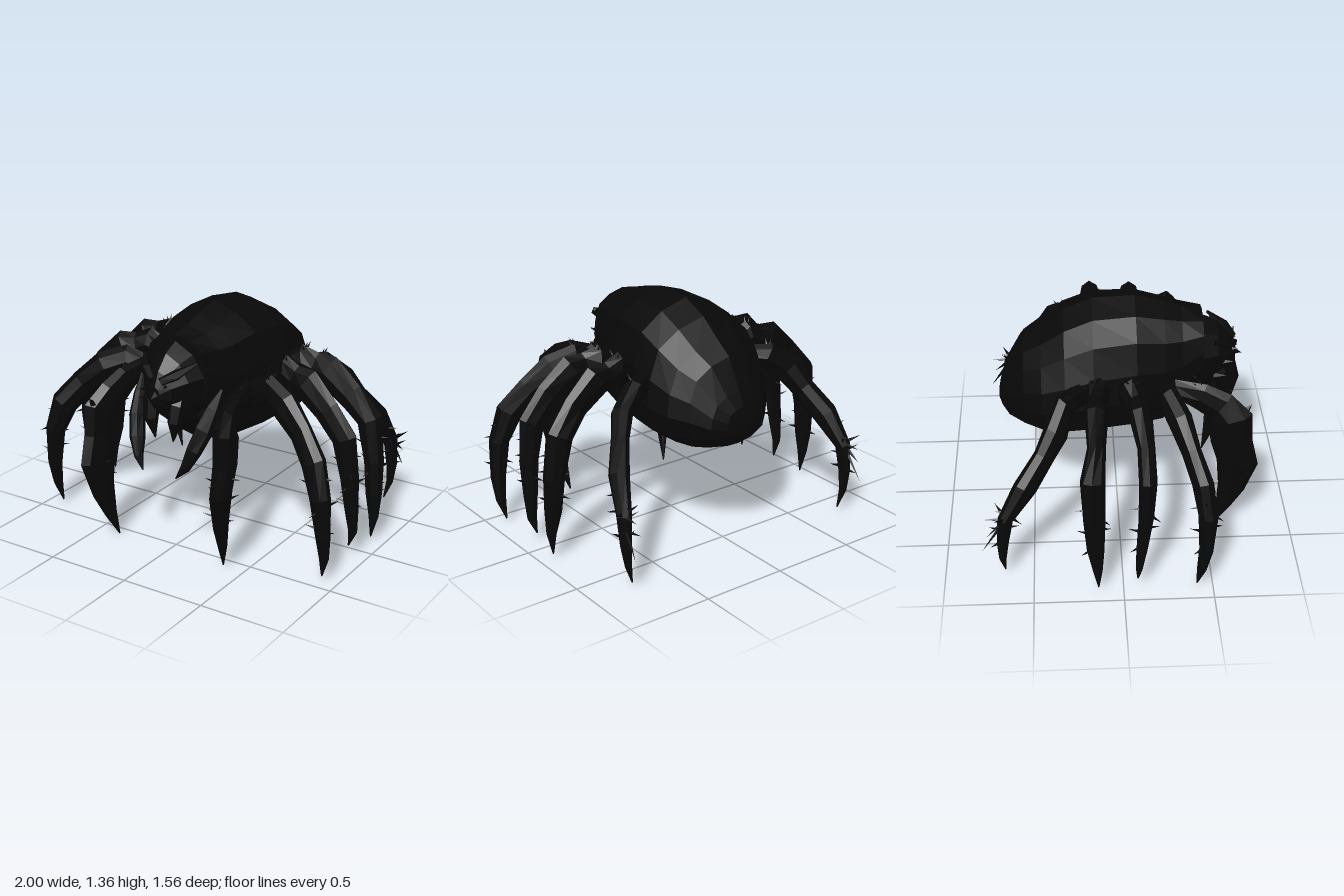
import * as THREE from 'three';
import { mergeGeometries } from 'three/addons/utils/BufferGeometryUtils.js';

const V = (x, y, z) => new THREE.Vector3(x, y, z);
const shell = new THREE.MeshStandardMaterial({ color: 0x080808, flatShading: true });
shell.name = 'black shell';

// Skin a list of rings (outward when each ring turns counter-clockwise around the advance direction)
function loft(rings) {
  const n = rings[0].length, pos = [], idx = [];
  rings.forEach(r => r.forEach(p => pos.push(p.x, p.y, p.z)));
  for (let i = 0; i < rings.length - 1; i++)
    for (let j = 0; j < n; j++) {
      const k = (j + 1) % n, a = i * n + j, b = i * n + k;
      idx.push(a, b, b + n, a, b + n, a + n);
    }
  const e = (rings.length - 1) * n;
  for (let j = 1; j < n - 1; j++) idx.push(0, j + 1, j, e, e + j, e + j + 1);
  const g = new THREE.BufferGeometry();
  g.setAttribute('position', new THREE.Float32BufferAttribute(pos, 3));
  g.setIndex(idx);
  g.computeVertexNormals();
  return g;
}

function add(parent, name, geometry) {
  const m = new THREE.Mesh(geometry, shell);
  m.name = name;
  parent.add(m);
  return m;
}

// Body sections along z: [z, top, bottom, half width], sharing one faceted outline
function sections(list, outline) {
  const full = [...outline, ...outline.slice(1, -1).reverse().map(([x, y]) => [-x, y])];
  return loft(list.map(([z, top, bot, w]) =>
    full.map(([x, y]) => V(x * w, (top + bot) / 2 + y * (top - bot) / 2, z))));
}

// Limb through points [x, y, z, radius in its plane, radius across it]
function limb(points, side, sides = 8) {
  const p = points.map(q => V(q[0] * side, q[1], q[2]));
  const span = p[p.length - 1].clone().sub(p[0]).setY(0).normalize();
  const across = V(0, 1, 0).cross(span);
  return loft(p.map((c, i) => {
    const t = p[Math.min(i + 1, p.length - 1)].clone().sub(p[Math.max(i - 1, 0)]).normalize();
    const up = across.clone().cross(t).normalize();
    return Array.from({ length: sides }, (_, j) => {
      const a = j / sides * Math.PI * 2;
      return c.clone().addScaledVector(up, Math.cos(a) * points[i][3])
        .addScaledVector(across, Math.sin(a) * points[i][4]);
    });
  }));
}

function spine(base, dir, length, radius = 0.01) {
  const g = new THREE.ConeGeometry(radius, length, 4);
  g.translate(0, length / 2, 0);
  g.applyQuaternion(new THREE.Quaternion().setFromUnitVectors(V(0, 1, 0), dir.clone().normalize()));
  return g.translate(base.x, base.y, base.z);
}

// Bristles spiralling round the shin, stopping above the claw
function bristles(points, side, count, length) {
  const list = [], from = points.length - 4.6;
  for (let i = 0; i < count; i++) {
    const u = from + i / count * 1.7;
    const k = Math.floor(u), f = u - k;
    const q = points[k].map((v, j) => v + (points[k + 1][j] - v) * f);
    const a = i * 2.4, r = Math.min(q[3], q[4]) * 0.7;
    const d = V(Math.cos(a) * side, 0.15 + 0.4 * Math.sin(i * 1.7), Math.sin(a));
    const base = V(q[0] * side + d.x * r, q[1], q[2] + d.z * r);
    list.push(spine(base, d, length * (0.8 + 0.3 * Math.sin(i * 3.1))));
  }
  return mergeGeometries(list);
}

const legs = {
  frontLeg: [[0.27, 0.8, 0.22, 0.05, 0.05], [0.355, 0.95, 0.34, 0.08, 0.045], [0.37, 0.92, 0.45, 0.09, 0.045],
    [0.385, 0.86, 0.56, 0.105, 0.055], [0.41, 0.8, 0.615, 0.13, 0.065], [0.415, 0.64, 0.63, 0.12, 0.062],
    [0.415, 0.49, 0.67, 0.118, 0.055], [0.4, 0.3, 0.645, 0.078, 0.04], [0.385, 0.15, 0.605, 0.042, 0.026],
    [0.36, 0, 0.56, 0.004, 0.004]],
  secondLeg: [[0.24, 0.82, 0.17, 0.06, 0.05], [0.38, 0.93, 0.24, 0.075, 0.05], [0.48, 0.97, 0.27, 0.09, 0.06],
    [0.6, 0.92, 0.32, 0.095, 0.065], [0.73, 0.81, 0.37, 0.08, 0.05], [0.84, 0.68, 0.425, 0.08, 0.058],
    [0.9, 0.5, 0.455, 0.06, 0.055], [0.92, 0.28, 0.45, 0.045, 0.038], [0.92, 0.14, 0.43, 0.03, 0.025],
    [0.9, 0.02, 0.41, 0.004, 0.004]],
  thirdLeg: [[0.24, 0.84, 0.03, 0.06, 0.05], [0.38, 0.97, 0.04, 0.075, 0.045], [0.47, 1.02, 0.065, 0.09, 0.065],
    [0.53, 0.99, 0.09, 0.085, 0.05], [0.61, 0.98, 0.1, 0.1, 0.065], [0.75, 0.86, 0.125, 0.085, 0.048],
    [0.865, 0.72, 0.13, 0.08, 0.05], [0.9, 0.5, 0.12, 0.06, 0.042], [0.91, 0.3, 0.1, 0.045, 0.032],
    [0.915, 0.16, 0.085, 0.03, 0.02], [0.89, 0.06, 0.08, 0.004, 0.004]],
  fourthLeg: [[0.24, 0.84, -0.08, 0.06, 0.05], [0.38, 0.97, -0.1, 0.075, 0.045], [0.47, 1.03, -0.125, 0.09, 0.065],
    [0.53, 1.0, -0.135, 0.085, 0.05], [0.61, 0.99, -0.135, 0.1, 0.065], [0.75, 0.87, -0.14, 0.085, 0.05],
    [0.87, 0.74, -0.165, 0.08, 0.068], [0.91, 0.5, -0.16, 0.06, 0.06], [0.92, 0.3, -0.155, 0.05, 0.048],
    [0.93, 0.16, -0.145, 0.03, 0.027], [0.92, 0.03, -0.14, 0.004, 0.004]],
  backLeg: [[0.24, 0.84, -0.14, 0.06, 0.05], [0.38, 0.95, -0.24, 0.07, 0.05], [0.48, 0.95, -0.31, 0.08, 0.06],
    [0.59, 0.86, -0.355, 0.085, 0.06], [0.65, 0.75, -0.42, 0.07, 0.05], [0.735, 0.6, -0.53, 0.075, 0.058],
    [0.785, 0.42, -0.645, 0.045, 0.042], [0.79, 0.26, -0.665, 0.034, 0.032], [0.78, 0.14, -0.67, 0.022, 0.02],
    [0.75, 0.03, -0.66, 0.004, 0.004]],
};

export function createModel() {
  const g = new THREE.Group();
  g.name = 'spider';

  // Abdomen and head
  add(g, 'abdomen', sections([
    [0.48, 1.26, 0.84, 0.21], [0.36, 1.29, 0.66, 0.26], [0.26, 1.32, 0.58, 0.3], [0.1, 1.36, 0.56, 0.345],
    [-0.14, 1.35, 0.54, 0.38], [-0.3, 1.28, 0.54, 0.385], [-0.43, 1.18, 0.555, 0.345], [-0.53, 1.11, 0.58, 0.28],
    [-0.62, 0.94, 0.63, 0.19], [-0.66, 0.86, 0.67, 0.11], [-0.68, 0.76, 0.71, 0.04]],
  [[0, 1], [0.44, 0.88], [0.8, 0.64], [0.95, 0.2], [1, -0.2], [0.91, -0.6], [0.5, -0.9], [0, -1]]));
  add(g, 'head', sections([
    [0.68, 1.02, 0.92, 0.03], [0.645, 1.1, 0.88, 0.09], [0.57, 1.18, 0.8, 0.145], [0.47, 1.23, 0.74, 0.19],
    [0.3, 1.22, 0.66, 0.22]],
  [[0, 1], [0.6, 0.75], [1, 0.25], [0.95, -0.35], [0.5, -0.85], [0, -1]]));
  add(g, 'snout', spine(V(0, 1, 0.59), V(0, -0.3, 1), 0.135, 0.06));

  for (const side of [1, -1]) {
    const label = side > 0 ? 'left' : 'right';
    // Legs with thorny bristles
    for (const [name, pts] of Object.entries(legs)) {
      const leg = new THREE.Group();
      leg.name = `${label} ${name}`;
      g.add(leg);
      add(leg, 'limb', limb(pts, side));
      add(leg, 'bristles', bristles(pts, side, 11, 0.08));
      const [kx, ky, kz, kr] = pts[2];
      add(leg, 'kneeThorns', mergeGeometries([-1, 0, 1].map(i =>
        spine(V(kx * side, ky + kr * 0.7, kz + i * 0.02), V(0.3 * side, 1, i * 0.7), 0.045, 0.008))));
    }
    // Pointed crest on the front knee
    add(g, `${label} frontKneeCrest`, spine(V(0.41 * side, 0.79, 0.66), V(0, 0.8, 0.6), 0.12, 0.05));
    // Long foot hairs on the back legs
    add(g, `${label} backFootHairs`, mergeGeometries(
      [[0.02, 0.22, -0.78], [0.03, 0.33, -0.75], [0, 0.43, -0.765], [-0.06, 0.5, -0.7], [0.08, 0.48, -0.7]]
        .map(([x, y, z]) => {
          const base = V(0.79 * side, 0.43, -0.64), d = V((0.79 + x) * side, y, z).sub(base);
          return spine(base, d, d.length(), 0.016);
        })));

    // Curved palps beside the head
    add(g, `${label} palp`, limb([[0.265, 0.98, 0.425, 0.008, 0.008], [0.245, 0.88, 0.48, 0.04, 0.035],
      [0.225, 0.77, 0.54, 0.055, 0.045], [0.19, 0.66, 0.59, 0.045, 0.045], [0.155, 0.56, 0.63, 0.03, 0.025],
      [0.11, 0.5, 0.655, 0.003, 0.003]], side));
    add(g, `${label} palpRoot`, limb([[0.12, 0.82, 0.38, 0.05, 0.05], [0.22, 0.8, 0.52, 0.035, 0.035]], side, 6));
    // Jaws and fangs
    add(g, `${label} jaw`, limb([[0.07, 0.98, 0.54, 0.05, 0.05], [0.085, 0.9, 0.59, 0.05, 0.05],
      [0.08, 0.81, 0.61, 0.042, 0.042], [0.06, 0.69, 0.6, 0.004, 0.004]], side, 6));
    // Brow ridge and cheek thorns
    add(g, `${label} brow`, limb([[0.03, 1.05, 0.67, 0.025, 0.02], [0.1, 1.09, 0.62, 0.03, 0.03],
      [0.17, 1.14, 0.53, 0.008, 0.008]], side, 5));
    add(g, `${label} headThorns`, mergeGeometries([[0.05, 1.02, 0.62], [0.1, 0.97, 0.59], [0.13, 0.9, 0.55]]
      .map(([x, y, z]) => spine(V(x * side, y, z), V(x * 3 * side, 0.15, 1), 0.075, 0.02))));
  }
  return g;
}
